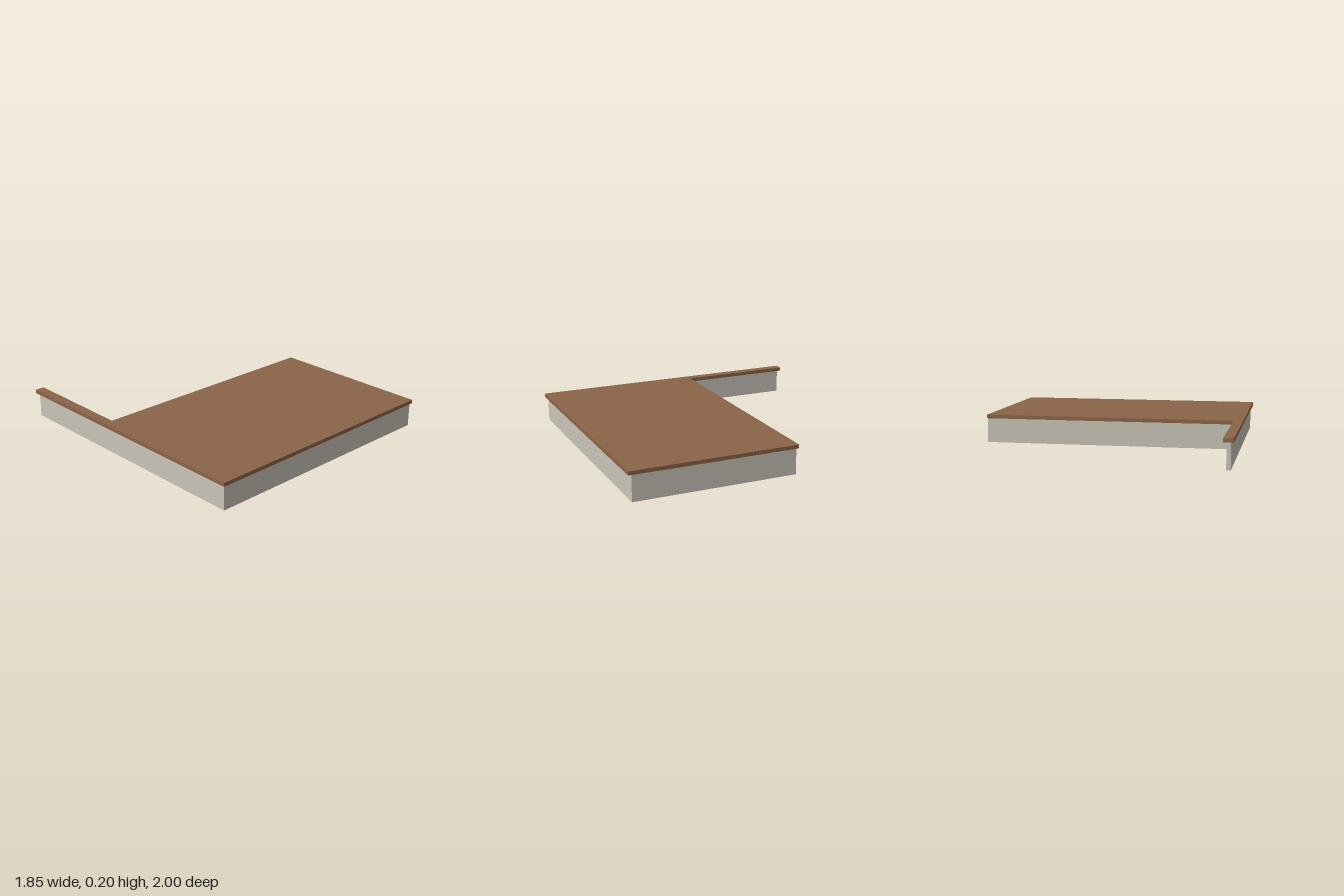
import * as THREE from 'three';

const stone = new THREE.MeshStandardMaterial({ name: 'paleStone', color: 0xcac5b9 });
const wood = new THREE.MeshStandardMaterial({ name: 'brownWood', color: 0x8a6448 });

// L-shaped slab: a wide front rectangle with a narrow arm running back on the -x side
function lSlab(name, material, { left, right, armRight, front, inner, back, bottom, top }) {
  const outline = [
    [left, front], [right, front], [right, inner],
    [armRight, inner], [armRight, back], [left, back],
  ].map(([x, z]) => new THREE.Vector2(x, -z));
  const geometry = new THREE.ExtrudeGeometry(new THREE.Shape(outline), {
    depth: top - bottom, bevelEnabled: false,
  });
  geometry.rotateX(-Math.PI / 2).translate(0, bottom, 0);
  const mesh = new THREE.Mesh(geometry, material);
  mesh.name = name;
  return mesh;
}

export function createModel() {
  const group = new THREE.Group();
  group.name = 'raisedDeck';

  // Plinth and low back wall, flush with the deck on the +x side
  group.add(lSlab('base', stone, {
    left: -0.904, right: 0.923, armRight: -0.876,
    front: 0.98, inner: -0.16, back: -0.98, bottom: 0, top: 0.177,
  }));

  // Overhanging deck and wall cap
  group.add(lSlab('deckTop', wood, {
    left: -0.923, right: 0.923, armRight: -0.856,
    front: 1, inner: -0.18, back: -1, bottom: 0.177, top: 0.203,
  }));

  return group;
}
